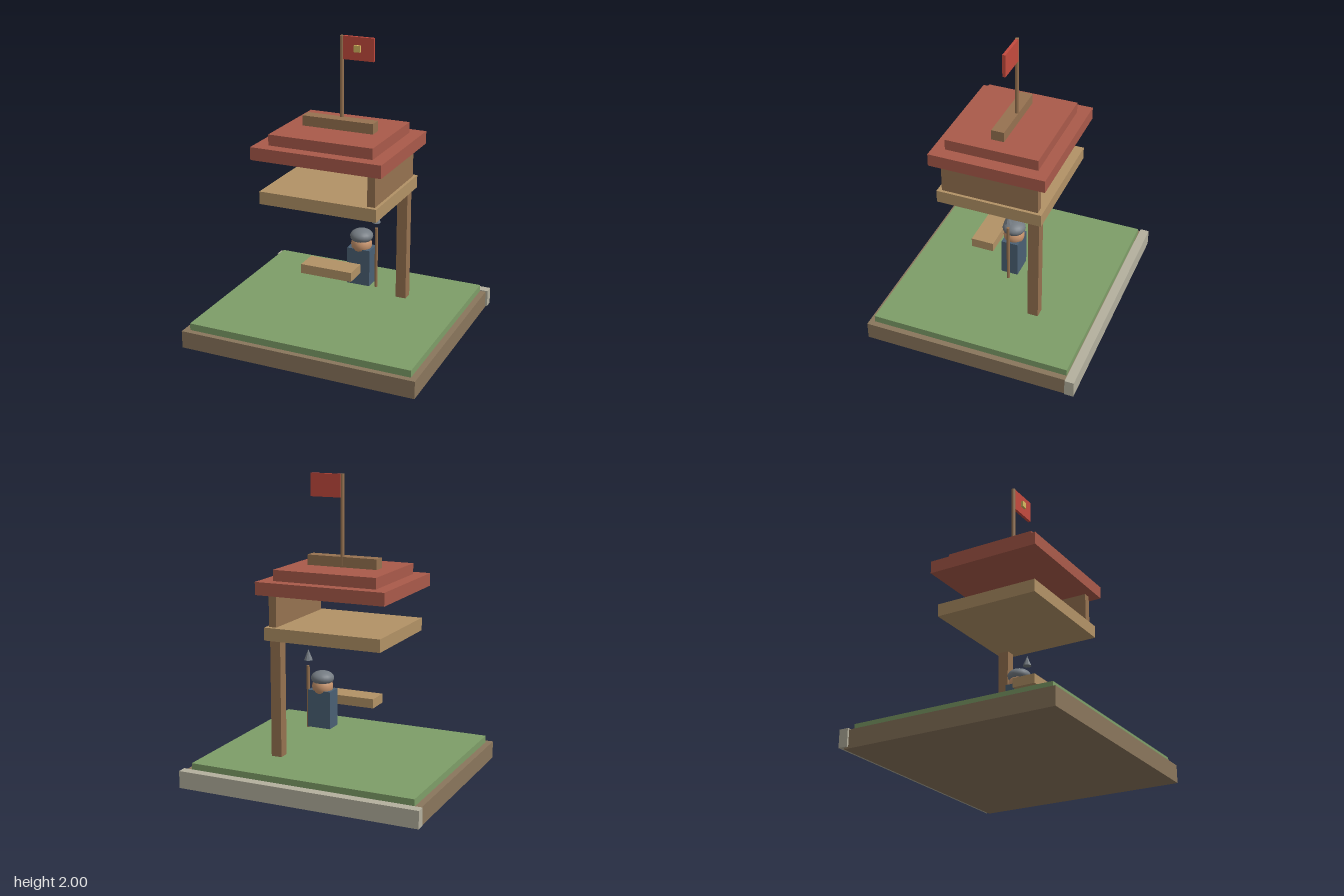
import * as THREE from 'three';

const mat = (color, flatShading = false) => new THREE.MeshStandardMaterial({ color, flatShading });
const COLORS = {
  earth: mat(0x8a765c), stone: mat(0xb4b09e), grass: mat(0x7e9e68), plank: mat(0xb29266),
  timber: mat(0x967250), roof: mat(0xaa5a4a), flag: mat(0xc44a3e), gold: mat(0xd8b860),
  cloth: mat(0x4a6074), skin: mat(0xc8956e), steel: mat(0x747b82), tip: mat(0x747b82, true),
};

export function createModel() {
  const model = new THREE.Group();

  const add = (parent, name, geometry, material, x, y, z) => {
    const mesh = new THREE.Mesh(geometry, COLORS[material]);
    mesh.name = name;
    mesh.position.set(x, y, z);
    parent.add(mesh);
    return mesh;
  };
  // Box given by its extents along each axis
  const box = (parent, name, material, [x0, x1], [y0, y1], [z0, z1]) =>
    add(parent, name, new THREE.BoxGeometry(x1 - x0, y1 - y0, z1 - z0), material,
      (x0 + x1) / 2, (y0 + y1) / 2, (z0 + z1) / 2);
  const group = (name) => {
    const g = new THREE.Group();
    g.name = name;
    model.add(g);
    return g;
  };

  // Ground slab with turf and a stone curb along the back
  const ground = group('ground');
  box(ground, 'earthBase', 'earth', [-0.812, 0.81], [0, 0.118], [-0.695, 0.728]);
  box(ground, 'turf', 'grass', [-0.77, 0.77], [0.118, 0.165], [-0.66, 0.69]);
  box(ground, 'backCurb', 'stone', [-0.825, 0.825], [0.01, 0.125], [-0.727, -0.665]);

  // Tower: corner post, platform and side wall
  const tower = group('tower');
  box(tower, 'cornerPost', 'timber', [0.3, 0.372], [0.165, 0.945], [-0.313, -0.24]);
  box(tower, 'platform', 'plank', [-0.405, 0.402], [0.945, 1.03], [-0.337, 0.374]);
  box(tower, 'sideWall', 'timber', [0.33, 0.382], [1.03, 1.245], [-0.307, 0.345]);

  // Stepped roof with ridge beam
  const roof = group('roof');
  box(roof, 'lowerRoof', 'roof', [-0.447, 0.444], [1.245, 1.33], [-0.374, 0.404]);
  box(roof, 'upperRoof', 'roof', [-0.358, 0.355], [1.33, 1.402], [-0.296, 0.325]);
  box(roof, 'ridgeBeam', 'timber', [-0.247, 0.244], [1.402, 1.47], [-0.027, 0.058]);

  // Flag on its pole
  const banner = group('banner');
  add(banner, 'flagPole', new THREE.CylinderGeometry(0.013, 0.013, 0.59, 8), 'timber', -0.002, 1.705, -0.016);
  box(banner, 'flagCloth', 'flag', [0.01, 0.218], [1.85, 2], [-0.028, -0.008]);
  box(banner, 'flagEmblem', 'gold', [0.088, 0.13], [1.905, 1.948], [-0.008, 0.008]);

  // Guard
  const guard = group('guard');
  box(guard, 'torso', 'cloth', [0.047, 0.208], [0.33, 0.582], [-0.104, 0.01]);
  add(guard, 'head', new THREE.SphereGeometry(0.07, 20, 14), 'skin', 0.127, 0.603, -0.048);
  add(guard, 'helmet', new THREE.SphereGeometry(0.077, 20, 14), 'steel', 0.127, 0.66, -0.048)
    .scale.y = 0.62;

  // Spear
  const spear = group('spear');
  add(spear, 'spearShaft', new THREE.CylinderGeometry(0.011, 0.011, 0.42, 8), 'timber', 0.233, 0.52, -0.048);
  add(spear, 'spearTip', new THREE.ConeGeometry(0.03, 0.072, 8), 'tip', 0.231, 0.806, -0.048);

  // Bench in front of the guard
  box(model, 'bench', 'plank', [-0.18, 0.176], [0.45, 0.513], [0.085, 0.24]);

  return model;
}
